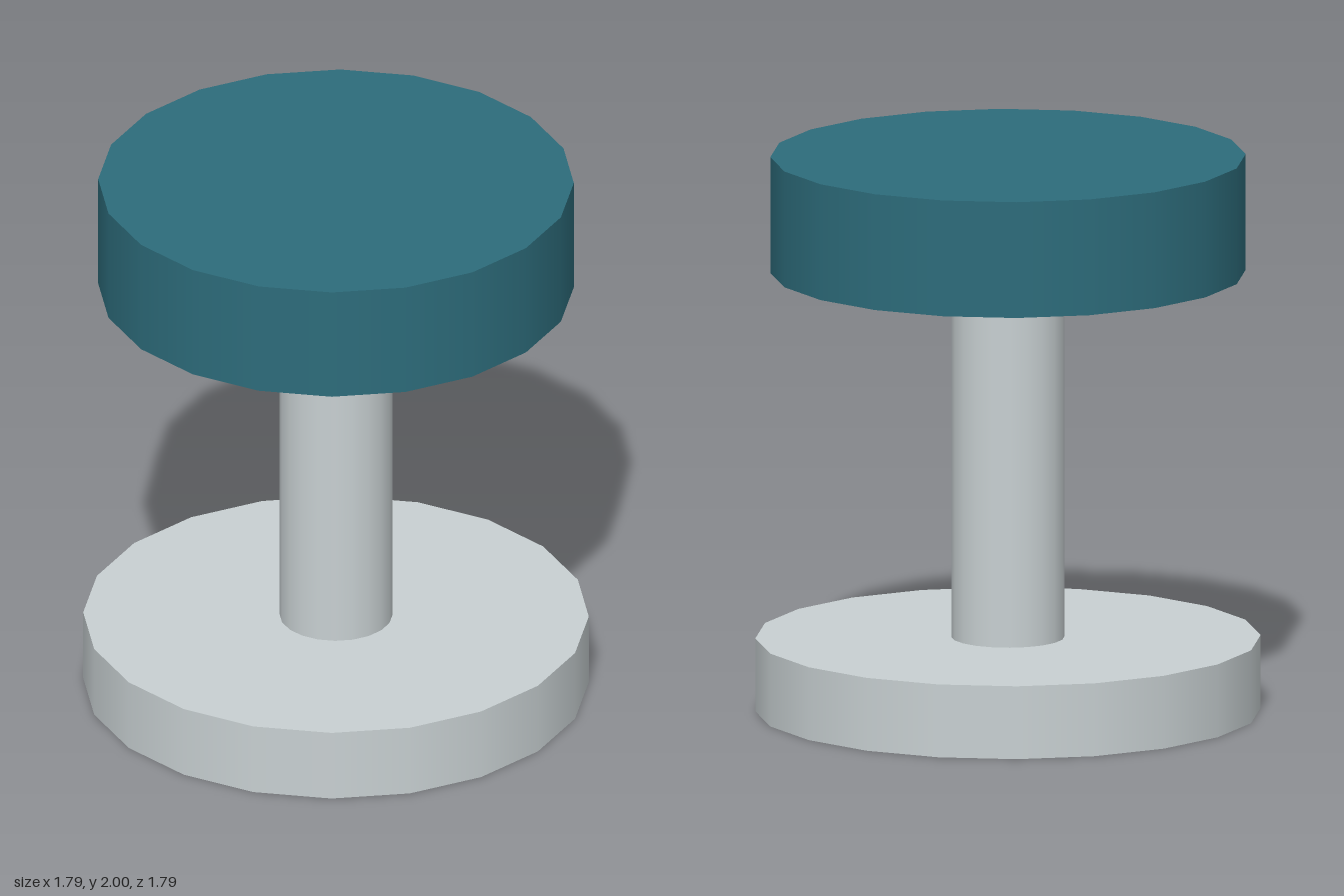
import * as THREE from 'three';

export function createModel() {
  const model = new THREE.Group();
  model.name = 'pedestalStool';

  const metal = new THREE.MeshStandardMaterial({ color: 0xc8d0d2 });
  metal.name = 'paleGreyMetal';
  const cushion = new THREE.MeshStandardMaterial({ color: 0x2d6c7b });
  cushion.name = 'tealCushion';

  // Upright disc or post spanning bottom to top
  function addCylinder(name, radius, bottom, top, material) {
    const geometry = new THREE.CylinderGeometry(radius, radius, top - bottom, 20);
    const mesh = new THREE.Mesh(geometry, material);
    mesh.name = name;
    mesh.position.y = (bottom + top) / 2;
    model.add(mesh);
  }

  addCylinder('base', 0.895, 0, 0.263, metal);
  addCylinder('column', 0.2, 0.263, 1.582, metal);
  addCylinder('seat', 0.842, 1.582, 2, cushion);

  return model;
}
